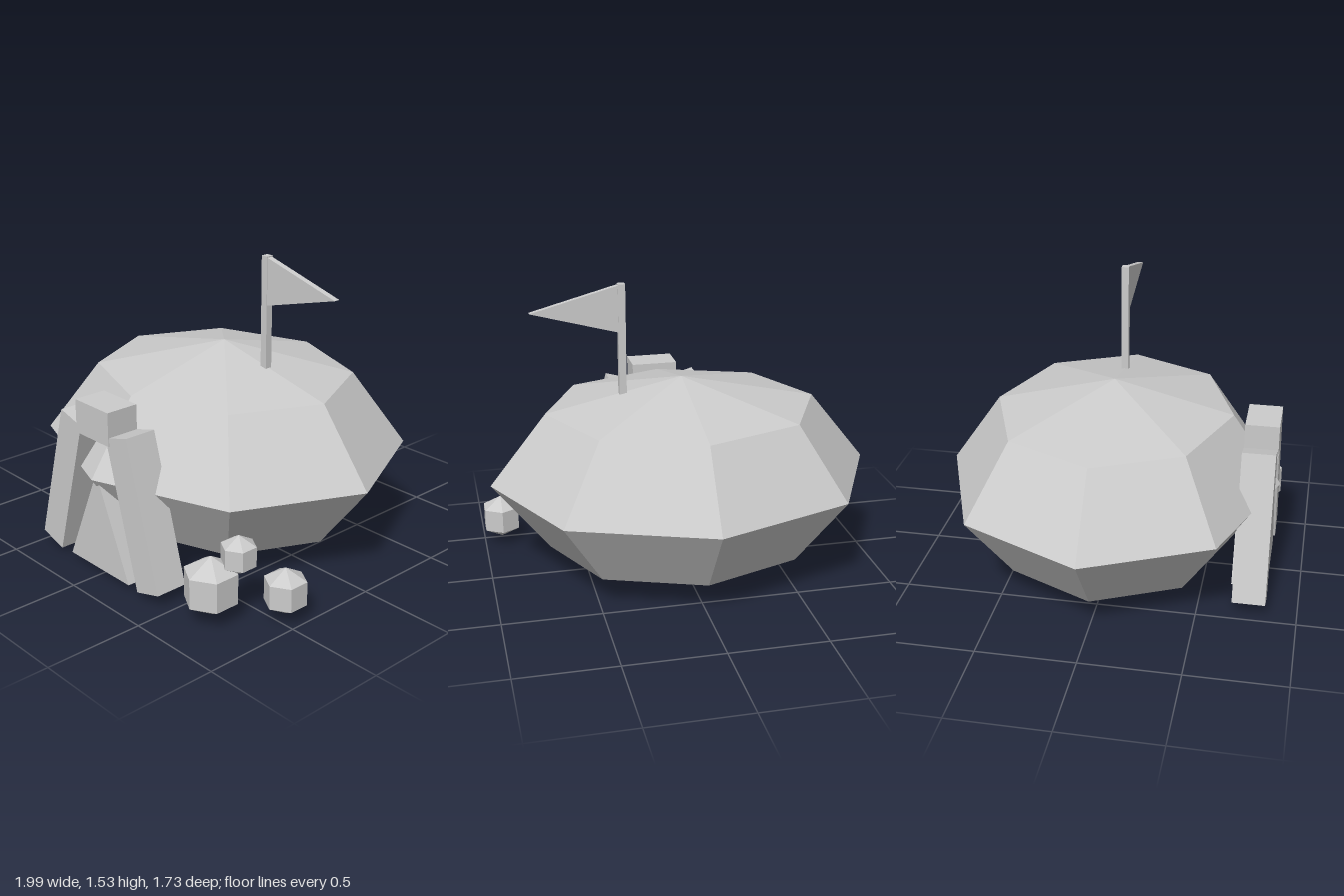
import * as THREE from 'three';

const CX = -0.007; // shared centre line of tent and entrance

export function createModel() {
  const model = new THREE.Group();
  const material = new THREE.MeshStandardMaterial({ color: 0xcccccc, flatShading: true });

  const add = (name, geometry, x, y, z) => {
    const mesh = new THREE.Mesh(geometry, material);
    mesh.name = name;
    mesh.position.set(x, y, z);
    model.add(mesh);
    return mesh;
  };

  // triangular prism, centred on z
  const prism = (points, depth) => {
    const shape = new THREE.Shape(points.map(([x, y]) => new THREE.Vector2(x, y)));
    return new THREE.ExtrudeGeometry(shape, { depth, bevelEnabled: false }).translate(0, 0, -depth / 2);
  };

  // faceted main body
  add('body', new THREE.SphereGeometry(1, 8, 4).scale(0.991, 0.517, 0.863), CX, 0.518, 0);

  // entrance: two leaning posts, a lintel and a triangular door
  for (const side of [-1, 1]) {
    const post = add(side < 0 ? 'rightPost' : 'leftPost',
      new THREE.BoxGeometry(0.161, 0.762, 0.167), CX + side * 0.279, 0.416, 0.759);
    post.rotation.z = side * 0.276;
  }
  add('lintel', new THREE.BoxGeometry(0.25, 0.17, 0.171), CX, 0.81, 0.762);
  add('door', prism([[-0.229, 0], [0.229, 0], [0, 0.515]], 0.182), CX, 0.03, 0.744);

  // flag on its pole
  add('flagPole', new THREE.BoxGeometry(0.037, 0.6, 0.037), 0.297, 1.231, 0);
  add('flag', prism([[0, -0.122], [0.45, 0], [0, 0.122]], 0.031), 0.303, 1.406, 0);

  // pile of small stones, corners turned to the front
  const stones = [
    [0.68, 0.178, 0.713, 0.151],
    [0.907, 0.147, 0.457, 0.119],
    [0.753, 0.327, 0.608, 0.099],
  ];
  for (const [x, y, z, r] of stones) {
    add('stone', new THREE.SphereGeometry(r, 6, 3).rotateY(Math.PI / 2), x, y, z);
  }

  return model;
}
